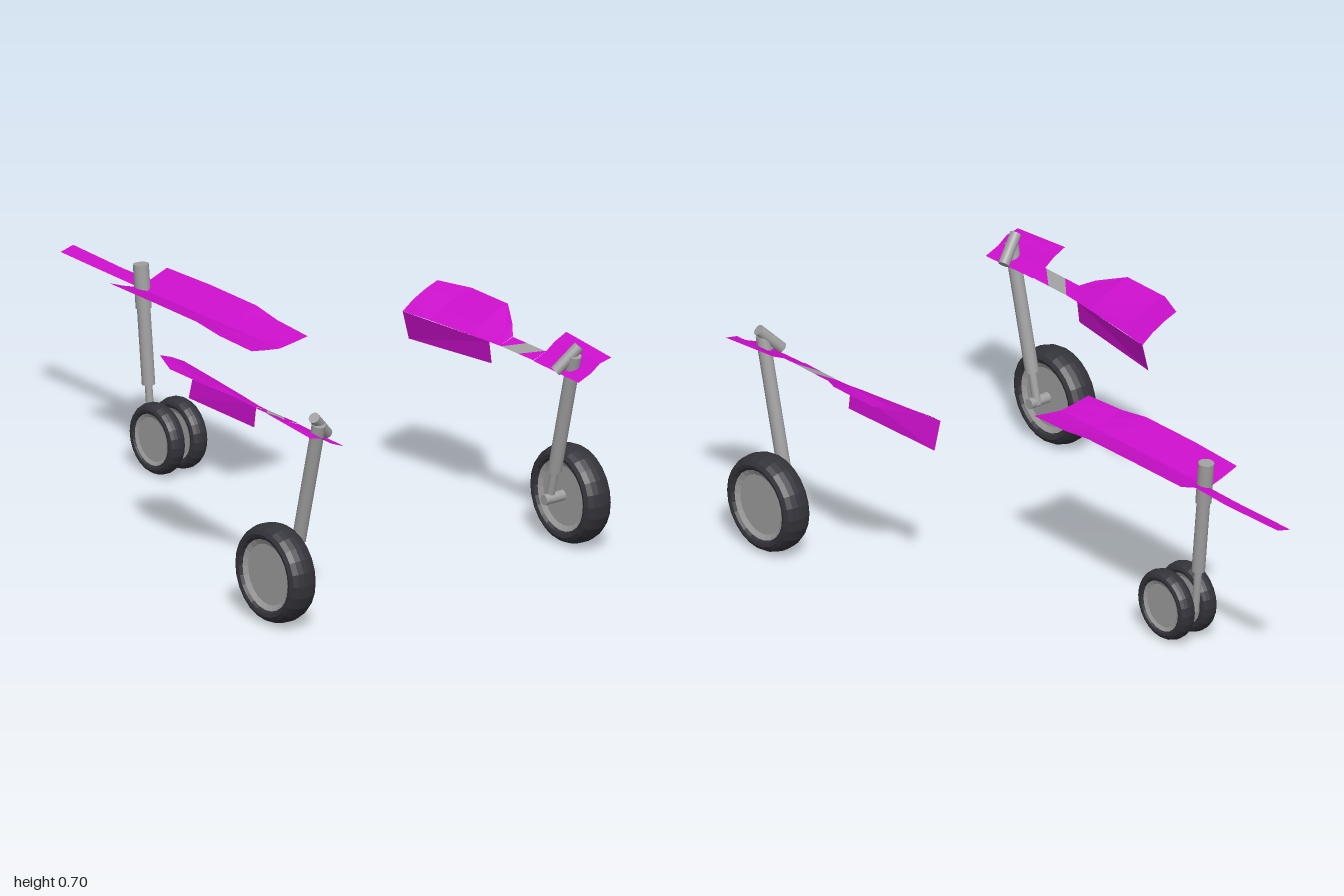
import * as THREE from 'three';

const mat = (name, color, extra = {}) => {
  const m = new THREE.MeshStandardMaterial({ color, ...extra });
  m.name = name;
  return m;
};

export function createModel() {
  const magenta = mat('magenta panel', 0xcc0fcc, { side: THREE.DoubleSide, flatShading: true });
  const grey = mat('grey metal', 0xa0a0a0, { side: THREE.DoubleSide });
  const rubber = mat('dark rubber', 0x33333a, { flatShading: true });
  const root = new THREE.Group();
  root.name = 'landingGear';

  const add = (parent, name, geometry, material) => {
    const mesh = new THREE.Mesh(geometry, material);
    mesh.name = name;
    parent.add(mesh);
    return mesh;
  };
  const group = (name) => {
    const g = new THREE.Group();
    g.name = name;
    root.add(g);
    return g;
  };

  // Round bar between two points
  const rod = (parent, name, a, b, r) => {
    const p = new THREE.Vector3(...a), q = new THREE.Vector3(...b);
    const dir = q.clone().sub(p);
    const mesh = add(parent, name, new THREE.CylinderGeometry(r, r, dir.length(), 16), grey);
    mesh.position.copy(p).add(q).multiplyScalar(0.5);
    mesh.quaternion.setFromUnitVectors(new THREE.Vector3(0, 1, 0), dir.normalize());
  };

  // Thin sheet lofted through rows of [x, y, z] points
  const sheet = (parent, name, rows, material, s = 1) => {
    const n = rows[0].length, index = [];
    const pos = rows.flat().flatMap(([x, y, z]) => [x, y, z * s]);
    for (let i = 0; i < rows.length - 1; i++)
      for (let j = 0; j < n - 1; j++) {
        const a = i * n + j, b = a + 1, c = a + n, d = c + 1;
        index.push(...(s > 0 ? [a, b, c, b, d, c] : [a, c, b, b, c, d]));
      }
    const g = new THREE.BufferGeometry();
    g.setAttribute('position', new THREE.Float32BufferAttribute(pos, 3));
    g.setIndex(index);
    const flat = g.toNonIndexed();
    flat.computeVertexNormals();
    add(parent, name, flat, material);
  };

  // Tyre and dished hub, axle along z
  const wheel = (parent, x, y, z, R, width) => {
    const h = width / 2;
    const turn = (pts) => new THREE.LatheGeometry(
      pts.map(([r, t]) => new THREE.Vector2(r * R, t * h)), 24).rotateX(Math.PI / 2);
    const half = [[0.72, -0.75], [0.77, -0.94], [0.84, -1], [0.92, -0.86], [0.975, -0.55]];
    const mirror = half.map(([r, t]) => [r, -t]).reverse();
    const tyre = turn([...half, [1, -0.18], [1, 0.18], ...mirror]);
    add(parent, 'tyre', tyre, rubber).position.set(x, y, z);
    const hub = turn([[0, -0.6], [0.62, -0.6], [0.73, -0.78], [0.73, 0.78], [0.62, 0.6], [0, 0.6]]).toNonIndexed();
    hub.computeVertexNormals();
    add(parent, 'wheelHub', hub, grey).position.set(x, y, z);
  };

  // Nose gear: stepped leg, trailing arm and twin wheels
  const nose = group('noseGear');
  const legAt = (y) => [-0.597 - (y - 0.637) * 0.1, y, 0];
  rod(nose, 'upperLeg', legAt(0.637), legAt(0.497), 0.025);
  rod(nose, 'middleLeg', legAt(0.5), legAt(0.253), 0.021);
  rod(nose, 'lowerLeg', legAt(0.26), legAt(0.11), 0.012);
  rod(nose, 'trailingArm', [-0.545, 0.12, 0], [-0.459, 0.113, 0], 0.012);
  rod(nose, 'axle', [-0.459, 0.114, -0.045], [-0.459, 0.114, 0.045], 0.018);
  for (const s of [1, -1]) wheel(nose, -0.459, 0.114, s * 0.044, 0.114, 0.06);

  // Nose doors: shallow V trough and a narrow single leaf
  const trough = [[-0.61, 0.595, 0.113], [-0.4, 0.598, 0.118], [-0.17, 0.596, 0.118],
    [-0.06, 0.58, 0.114], [0.095, 0.573, 0.11]];
  sheet(nose, 'noseDoor', trough.map(([x, y, z]) => [
    [x, y, -z], [x, 0.557 + (y - 0.557) * 0.45, -z / 2], [x, 0.557, 0],
    [x, 0.557 + (y - 0.557) * 0.45, z / 2], [x, y, z]]), magenta);
  sheet(nose, 'narrowNoseDoor', [
    [[-1, 0.572, -0.052], [-1, 0.56, -0.002]],
    [[-0.75, 0.566, -0.052], [-0.75, 0.557, -0.002]],
    [[-0.6, 0.57, -0.05], [-0.6, 0.557, 0]]], magenta);

  // Main gear, mirrored to both sides
  for (const s of [1, -1]) {
    const gear = group(s > 0 ? 'frontMainGear' : 'backMainGear');
    const at = (y) => [0.805 + (y - 0.158) * 0.245, y, s * 0.502];
    rod(gear, 'upperLeg', at(0.66), at(0.253), 0.022);
    rod(gear, 'lowerLeg', at(0.26), at(0.15), 0.013);
    rod(gear, 'axle', [0.81, 0.158, s * 0.474], [0.81, 0.158, s * 0.57], 0.017);
    rod(gear, 'trunnion', [0.9, 0.612, s * 0.448], [0.927, 0.686, s * 0.52], 0.018);
    wheel(gear, 0.81, 0.158, s * 0.579, 0.158, 0.101);

    // Wing door, narrowing into the link strip
    const door = [
      [[0.19, 0.615, 0.408], [0.19, 0.645, 0.45], [0.19, 0.67, 0.5], [0.19, 0.686, 0.545]],
      [[0.3, 0.615, 0.423], [0.3, 0.64, 0.47], [0.3, 0.667, 0.53], [0.3, 0.682, 0.592]],
      [[0.48, 0.612, 0.445], [0.48, 0.635, 0.48], [0.48, 0.662, 0.53], [0.48, 0.681, 0.593]],
      [[0.57, 0.61, 0.457], [0.57, 0.622, 0.48], [0.57, 0.638, 0.51], [0.57, 0.652, 0.54]],
      [[0.61, 0.61, 0.46], [0.61, 0.616, 0.475], [0.61, 0.622, 0.49], [0.61, 0.63, 0.51]]];
    sheet(gear, 'wingDoor', door, magenta, s);
    sheet(gear, 'hangingFlap', [
      [[0.19, 0.615, 0.408], [0.19, 0.52, 0.432]],
      [[0.56, 0.61, 0.457], [0.56, 0.537, 0.466]]], magenta, s);

    // Link strip with a slanted bare-metal section
    const cut = (xi, xo) => [[xi, 0.61, 0.46], [xo, 0.628, 0.51]];
    sheet(gear, 'linkStripInner', [cut(0.61, 0.61), cut(0.615, 0.68)], magenta, s);
    sheet(gear, 'linkStripMetal', [cut(0.615, 0.68), cut(0.7, 0.77)], grey, s);
    sheet(gear, 'linkStripOuter', [cut(0.7, 0.77), cut(0.775, 0.775)], magenta, s);

    // Leg door around the top of the strut
    sheet(gear, 'legDoor', [[0.775, 0.608, 0.012], [1, 0.6, 0]].map(([x, y, lift]) => [
      [x, y, 0.46], [x, y + 0.02, 0.51], [x, y + 0.045, 0.545], [x, y + 0.054 + lift, 0.59]]), magenta, s);
  }
  return root;
}
